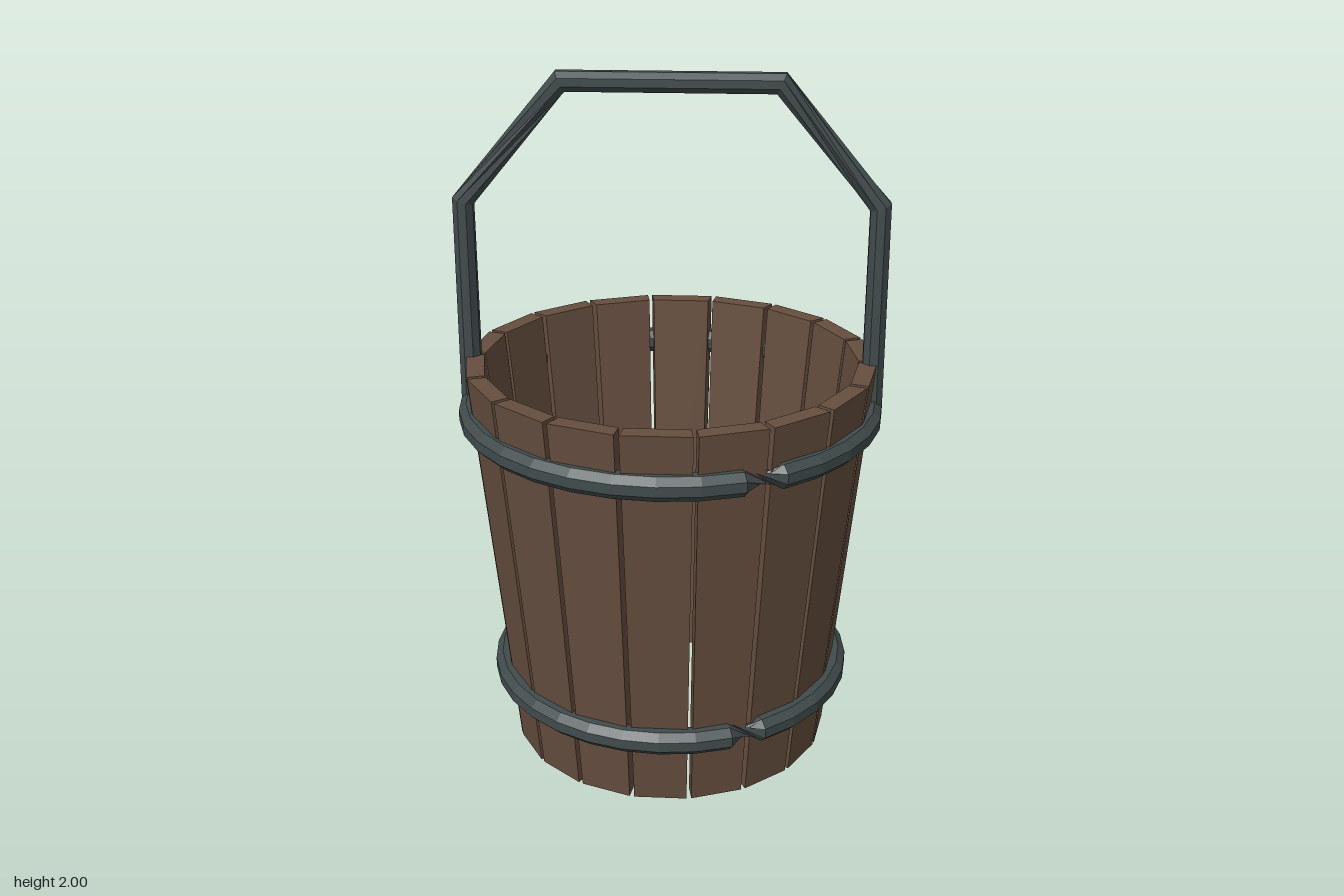
import * as THREE from 'three';

const SIDES = 8;

// Flat-shaded octagonal sweep through frames {p, u, v}; twist(i) offsets the corners joined across segment i.
function sweep(frames, radius, closed, twist) {
  const pos = [];
  const n = frames.length;
  const corner = (i, j) => {
    const f = frames[i % n];
    const a = ((j + 0.5) / SIDES) * Math.PI * 2;
    return f.p.clone()
      .addScaledVector(f.u, Math.cos(a) * radius)
      .addScaledVector(f.v, Math.sin(a) * radius);
  };
  const tri = (...pts) => pts.forEach((q) => pos.push(q.x, q.y, q.z));
  for (let i = 0; i < (closed ? n : n - 1); i++) {
    const s = twist(i);
    for (let j = 0; j < SIDES; j++) {
      const a = corner(i, j), b = corner(i, j + 1);
      const c = corner(i + 1, j + 1 + s), d = corner(i + 1, j + s);
      tri(a, b, c);
      tri(a, c, d);
    }
  }
  if (!closed) {
    for (let j = 0; j < SIDES; j++) {
      tri(frames[0].p, corner(0, j + 1), corner(0, j));
      tri(frames[n - 1].p, corner(n - 1, j), corner(n - 1, j + 1));
    }
  }
  const g = new THREE.BufferGeometry();
  g.setAttribute('position', new THREE.Float32BufferAttribute(pos, 3));
  g.computeVertexNormals();
  return g;
}

// Tapered, outward-leaning plank with a narrow gap on either side
function staveGeometry(count) {
  const height = 1.18, thickness = 0.052, gap = 0.007;
  const g = new THREE.BoxGeometry(1, 1, 1).toNonIndexed();
  const p = g.attributes.position;
  for (let i = 0; i < p.count; i++) {
    const top = p.getY(i) > 0;
    const r = (top ? 0.584 : 0.468) - (p.getZ(i) > 0 ? 0 : thickness);
    const half = r * Math.tan(Math.PI / count) - gap;
    p.setXYZ(i, Math.sign(p.getX(i)) * half, top ? height : 0, r);
  }
  g.computeVertexNormals();
  return g;
}

// Iron ring of 32 segments, kinked at two opposite joints
function hoopGeometry(radius, y) {
  const frames = [];
  for (let i = 0; i < 32; i++) {
    const a = (i / 32) * Math.PI * 2;
    const u = new THREE.Vector3(Math.sin(a), 0, Math.cos(a));
    frames.push({
      p: u.clone().multiplyScalar(radius).setY(y),
      u,
      v: new THREE.Vector3(0, -1, 0),
    });
  }
  return sweep(frames, 0.038, true, (i) => (i % 16 === 2 ? 3 : 0));
}

// Angular bail with slightly twisted sloping bars
function handleGeometry() {
  const path = [[-0.58, 1.04], [-0.58, 1.635], [-0.3, 1.97], [0.3, 1.97], [0.58, 1.635], [0.58, 1.04]]
    .map(([x, y]) => new THREE.Vector3(x, y, 0));
  const dir = (i) => path[i + 1].clone().sub(path[i]).normalize();
  const last = path.length - 1;
  const frames = path.map((p, i) => {
    const t = dir(Math.max(i - 1, 0)).add(dir(Math.min(i, last - 1))).normalize();
    return { p, u: new THREE.Vector3(-t.y, t.x, 0), v: new THREE.Vector3(0, 0, 1) };
  });
  return sweep(frames, 0.033, false, (i) => (i === 1 || i === 3 ? 1 : 0));
}

export function createModel() {
  const wood = new THREE.MeshStandardMaterial({ color: 0x664e3f });
  wood.name = 'brown wood';
  const iron = new THREE.MeshStandardMaterial({ color: 0x414b4c });
  iron.name = 'dark iron';

  const bucket = new THREE.Group();
  bucket.name = 'bucket';
  const add = (name, geometry, material, parent = bucket) => {
    const mesh = new THREE.Mesh(geometry, material);
    mesh.name = name;
    parent.add(mesh);
    return mesh;
  };

  // Staves
  const staves = new THREE.Group();
  staves.name = 'staves';
  bucket.add(staves);
  const count = 18;
  const stave = staveGeometry(count);
  for (let i = 0; i < count; i++) {
    add('stave', stave, wood, staves).rotation.y = (i / count) * Math.PI * 2;
  }

  // Hoops and handle
  add('upperHoop', hoopGeometry(0.576, 1.035), iron);
  add('lowerHoop', hoopGeometry(0.502, 0.215), iron);
  add('handle', handleGeometry(), iron);

  return bucket;
}
